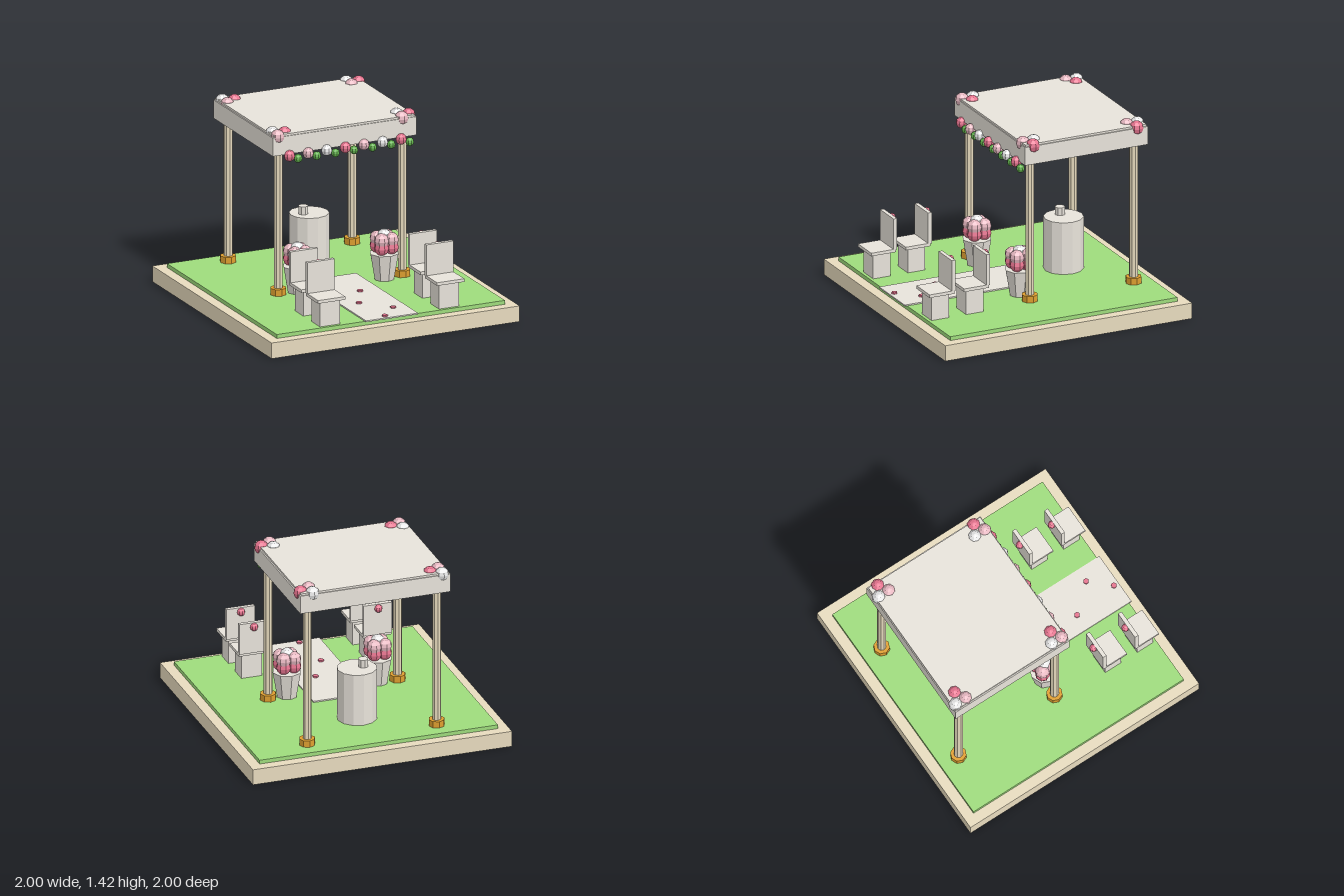
import * as THREE from 'three';

const mat = (name, color) => {
  const m = new THREE.MeshStandardMaterial({ color, flatShading: true });
  m.name = name;
  return m;
};

export function createModel() {
  const ivory = mat('ivory', 0xf8f3ea);
  const sand = mat('sand', 0xf7eacb);
  const grass = mat('grass', 0x9edb7c);
  const gold = mat('gold', 0xe0a030);
  const rose = mat('rose', 0xe6748f);
  const blush = mat('blush', 0xfcc9d3);
  const white = mat('white', 0xfafafa);
  const leaf = mat('leaf', 0x64b44e);

  const model = new THREE.Group();
  model.name = 'gardenPavilion';

  const add = (parent, name, geometry, material, x, y, z) => {
    const mesh = new THREE.Mesh(geometry, material);
    mesh.name = name;
    mesh.position.set(x, y, z);
    parent.add(mesh);
    return mesh;
  };
  const group = (name, x = 0, y = 0, z = 0) => {
    const g = new THREE.Group();
    g.name = name;
    g.position.set(x, y, z);
    model.add(g);
    return g;
  };
  // Box given by its bottom height
  const box = (parent, name, material, w, h, d, x, y, z) =>
    add(parent, name, new THREE.BoxGeometry(w, h, d), material, x, y + h / 2, z);
  // Cylinder given by its bottom height
  const drum = (parent, name, material, rTop, rBottom, h, sides, x, y, z) =>
    add(parent, name, new THREE.CylinderGeometry(rTop, rBottom, h, sides), material, x, y + h / 2, z);
  const ball = (parent, name, material, r, x, y, z) =>
    add(parent, name, new THREE.SphereGeometry(r, 8, 6), material, x, y, z);

  // Ground
  box(model, 'base', sand, 2, 0.12, 2, 0, 0, 0);
  box(model, 'lawn', grass, 1.84, 0.03, 1.84, 0, 0.12, 0);

  // Aisle with scattered petals
  box(model, 'aisle', ivory, 0.42, 0.01, 1.04, 0, 0.15, 0.42);
  for (const [x, z] of [[0.05, 0.3], [-0.08, 0.55], [0.1, 0.75], [-0.04, 0.9]])
    drum(model, 'petal', rose, 0.022, 0.022, 0.012, 6, x, 0.16, z);

  // Canopy: roof slab with a hanging valance on each side
  const canopy = group('canopy', 0, 0, -0.35);
  box(canopy, 'roof', ivory, 1.14, 0.03, 0.98, 0, 1.36, 0);
  for (const s of [-1, 1]) {
    box(canopy, 'valanceFrontBack', ivory, 1.16, 0.14, 0.02, 0, 1.235, s * 0.487);
    box(canopy, 'valanceSide', ivory, 0.02, 0.14, 0.96, s * 0.57, 1.235, 0);
  }

  // Posts with gold feet and a trio of blooms at each roof corner
  for (const x of [-0.5, 0.5]) {
    for (const z of [-0.77, 0.07]) {
      const corner = group('cornerPost', x, 0, z);
      drum(corner, 'post', sand, 0.033, 0.033, 1.21, 8, 0, 0.15, 0);
      drum(corner, 'postFoot', gold, 0.06, 0.06, 0.05, 8, 0, 0.15, 0);
      [rose, blush, white].forEach((m, i) => {
        const a = (i * Math.PI * 2) / 3;
        ball(corner, 'cornerBloom', m, 0.052, 0.052 * Math.cos(a), 1.37, 0.05 * Math.sin(a));
      });
    }
  }

  // Garland along the front edge
  const garland = group('garland', 0, 0, 0.155);
  for (let i = 0; i < 7; i++) {
    const x = -0.45 + i * 0.15;
    ball(garland, 'garlandBloom', [rose, blush, white][i % 3], 0.042, x, 1.225, 0);
    ball(garland, 'garlandLeaf', leaf, 0.032, x + 0.07, 1.195, 0);
  }

  // Round altar table with a small candle
  drum(model, 'altar', ivory, 0.148, 0.148, 0.4, 12, 0, 0.15, -0.45);
  drum(model, 'candle', ivory, 0.038, 0.038, 0.06, 8, -0.05, 0.55, -0.445);

  for (const s of [-1, 1]) {
    // Tapered planter holding a bouquet
    const planter = group('planter', s * 0.35, 0, 0.08);
    drum(planter, 'pot', ivory, 0.11, 0.075, 0.2, 8, 0, 0.15, 0);
    for (const x of [-0.04, 0.04]) {
      for (const z of [-0.04, 0.04]) {
        ball(planter, 'lowerBloom', rose, 0.055, x, 0.4, z);
        ball(planter, 'upperBloom', blush, 0.055, x, 0.455, z);
      }
    }
    ball(planter, 'topBloom', white, 0.055, 0, 0.475, 0);

    // Two chairs per side, facing forward, with a bloom on the back
    for (const z of [0.545, 0.825]) {
      const chair = group('chair', s * 0.48, 0, z);
      box(chair, 'pedestal', ivory, 0.16, 0.19, 0.14, 0, 0.15, 0);
      box(chair, 'seat', ivory, 0.22, 0.024, 0.2, 0, 0.34, 0);
      box(chair, 'backrest', ivory, 0.22, 0.24, 0.03, 0, 0.36, -0.095);
      ball(chair, 'chairBloom', rose, 0.03, 0, 0.57, -0.12);
    }
  }

  return model;
}
